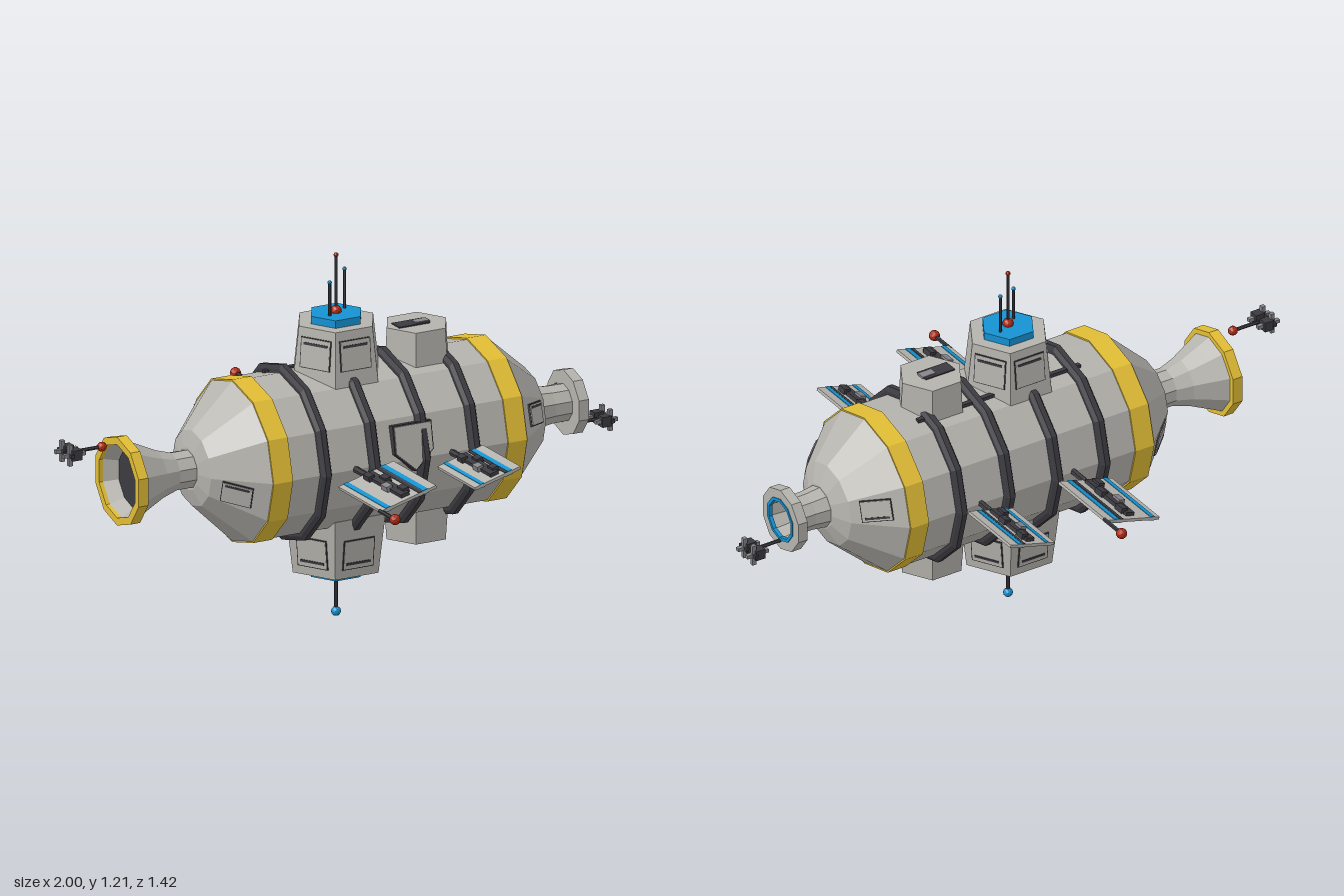
import * as THREE from 'three';

const AXIS_Y = 0.576;

function paint(name, color) {
  const m = new THREE.MeshStandardMaterial({ color, flatShading: true });
  m.name = name;
  return m;
}

export function createModel() {
  const hullGrey = paint('hull grey', 0xb5b3ad);
  const midGrey = paint('mid grey', 0x85858a);
  const dark = paint('dark grey', 0x3b3a40);
  const yellow = paint('yellow', 0xe2bd35);
  const blue = paint('blue', 0x1592d2);
  const red = paint('red', 0xb02a12);

  const root = new THREE.Group();
  root.name = 'spaceStation';

  const group = (parent, name, x = 0, y = 0, z = 0) => {
    const g = new THREE.Group();
    g.name = name;
    g.position.set(x, y, z);
    parent.add(g);
    return g;
  };
  const mesh = (parent, name, geo, mat, x = 0, y = 0, z = 0) => {
    const m = new THREE.Mesh(geo, mat);
    m.name = name;
    m.position.set(x, y, z);
    parent.add(m);
    return m;
  };
  const box = (parent, name, mat, w, h, d, x, y, z) =>
    mesh(parent, name, new THREE.BoxGeometry(w, h, d), mat, x, y, z);
  const ball = (parent, name, mat, r, x, y, z) =>
    mesh(parent, name, new THREE.IcosahedronGeometry(r, 1), mat, x, y, z);
  // Rod between two points
  const rod = (parent, name, mat, r, a, b) => {
    const p = new THREE.Vector3(...a), d = new THREE.Vector3(...b).sub(p);
    const m = mesh(parent, name, new THREE.CylinderGeometry(r, r, d.length(), 6), mat);
    m.position.copy(p).addScaledVector(d, 0.5);
    m.quaternion.setFromUnitVectors(new THREE.Vector3(0, 1, 0), d.normalize());
    return m;
  };
  // Hexagonal prism with corners on the x axis
  const hex = (parent, name, mat, rTop, rBottom, y0, y1) =>
    mesh(parent, name, new THREE.CylinderGeometry(rTop, rBottom, y1 - y0, 6).rotateY(Math.PI / 6),
      mat, 0, (y0 + y1) / 2, 0);

  // Parts turned around the long axis, from [x, radius] pairs
  const body = group(root, 'body', 0, AXIS_Y, 0);
  const turned = (name, mat, profile, sides = 12) => {
    const pts = profile.map(([x, r]) => new THREE.Vector2(r, x));
    const geo = new THREE.LatheGeometry(pts, sides, Math.PI / 2).rotateZ(-Math.PI / 2);
    return mesh(body, name, geo, mat);
  };
  const band = (name, mat, x0, x1, rIn, rOut, sides) =>
    turned(name, mat, [[x0, rIn], [x0, rOut], [x1, rOut], [x1, rIn], [x0, rIn]], sides);

  turned('hull', hullGrey, [[-0.535, 0], [-0.535, 0.07], [-0.52, 0.125], [-0.375, 0.265],
    [0.54, 0.265], [0.68, 0.14], [0.708, 0.075], [0.708, 0]]);
  band('leftYellowBand', yellow, 0.472, 0.54, 0.25, 0.27);
  band('rightYellowBand', yellow, -0.375, -0.305, 0.25, 0.27);
  for (const x of [-0.187, -0.01, 0.17, 0.35])
    turned('hullRing', dark, [[x - 0.018, 0.25], [x - 0.018, 0.277], [x - 0.009, 0.291],
      [x + 0.009, 0.291], [x + 0.018, 0.277], [x + 0.018, 0.25]]);

  // Engine bell
  turned('engineBell', hullGrey, [[-0.76, 0.132], [-0.71, 0.108], [-0.65, 0.08], [-0.595, 0.063], [-0.53, 0.063]], 10);
  turned('bellLining', hullGrey, [[-0.66, 0.07], [-0.785, 0.126]], 10);
  turned('bellThroat', dark, [[-0.73, 0], [-0.73, 0.104]], 10);
  band('bellRim', yellow, -0.79, -0.755, 0.122, 0.147, 10);

  // Docking port
  turned('portNeck', hullGrey, [[0.7, 0.07], [0.76, 0.063], [0.825, 0.062]], 10);
  turned('portFlange', hullGrey, [[0.82, 0.05], [0.82, 0.108], [0.855, 0.108], [0.855, 0.072],
    [0.78, 0.06], [0.78, 0]], 10);
  band('portBlueRing', blue, 0.845, 0.858, 0.065, 0.076, 10);

  // Hatches lying on the cone facets
  const hatch = (x, r, angle, slope) => {
    const turn = group(body, 'hatch');
    turn.rotation.x = angle;
    const g = group(turn, 'hatchPlate', x, 0, r);
    g.rotation.y = slope;
    box(g, 'hatchFrame', dark, 0.102, 0.072, 0.008, 0, 0, 0);
    box(g, 'hatchDoor', hullGrey, 0.096, 0.066, 0.009, 0, 0, 0.002);
    box(g, 'hatchSlot', dark, 0.08, 0.007, 0.008, 0, 0.024, 0.004);
  };
  hatch(0.615, 0.193, -0.262, 0.72);
  hatch(0.615, 0.193, Math.PI + 0.262, 0.72);
  hatch(-0.455, 0.182, 0.262, -0.75);
  hatch(-0.455, 0.182, Math.PI - 0.262, -0.75);

  // Shield-shaped door on the front
  const shieldGeo = (k, depth) => new THREE.ExtrudeGeometry(new THREE.Shape(
    [[-0.07, 0.07], [-0.07, -0.022], [0, -0.085], [0.07, -0.022], [0.07, 0.07]]
      .map(([x, y]) => new THREE.Vector2(x * k, y * k))), { depth, bevelEnabled: false });
  const door = group(body, 'shieldDoor', 0.13, 0.045, 0.243);
  door.rotation.x = -0.18;
  mesh(door, 'shieldFrame', shieldGeo(1, 0.028), dark);
  mesh(door, 'shieldFace', shieldGeo(0.93, 0.031), hullGrey);

  // Panel on one face of a hexagonal tower
  const towerPanel = (parent, angle, y, apothem, lean) => {
    const turn = group(parent, 'towerPanel');
    turn.rotation.y = angle;
    const g = group(turn, 'panelPlate', 0, y, apothem);
    g.rotation.x = -lean;
    box(g, 'panelFrame', dark, 0.11, 0.1, 0.006, 0, 0, 0);
    box(g, 'panelFace', hullGrey, 0.104, 0.094, 0.008, 0, 0, 0);
    box(g, 'panelSlot', dark, 0.086, 0.008, 0.008, 0, 0.03, 0.002);
  };

  // Upper tower with antennas
  const upper = group(root, 'upperTower');
  hex(upper, 'towerWalls', hullGrey, 0.134, 0.158, 0.78, 0.985);
  hex(upper, 'towerCap', blue, 0.09, 0.09, 0.98, 1.01);
  for (const a of [0, Math.PI * 2 / 3, Math.PI, -Math.PI / 3]) towerPanel(upper, a, 0.905, 0.1245, 0.1);
  ball(upper, 'antennaBase', red, 0.018, 0, 1.015, 0);
  for (const [x, z, top, mat, r] of [[0, 0, 1.2, red, 0.008], [-0.035, 0.022, 1.12, blue, 0.007],
    [0.043, -0.022, 1.14, blue, 0.007]]) {
    rod(upper, 'antenna', dark, 0.005, [x, 1, z], [x, top, z]);
    ball(upper, 'antennaTip', mat, r, x, top, z);
  }

  // Lower tower
  const lower = group(root, 'lowerTower');
  hex(lower, 'towerWalls', hullGrey, 0.182, 0.156, 0.17, 0.37);
  hex(lower, 'towerCap', blue, 0.09, 0.09, 0.144, 0.175);
  for (const a of [0, Math.PI / 3, Math.PI, -Math.PI * 2 / 3]) {
    const flip = group(lower, 'panelMount', 0, 0.25, 0);
    flip.rotation.x = Math.PI;
    towerPanel(flip, a, 0, 0.1455, 0.11);
  }
  ball(lower, 'antennaBase', red, 0.018, 0, 0.135, 0);
  rod(lower, 'antenna', dark, 0.006, [0, 0.14, 0], [0, 0.018, 0]);
  ball(lower, 'antennaTip', blue, 0.016, 0, 0.016, 0);

  // Small side modules above and below
  const pod = group(root, 'upperPod', 0.29, 0, 0);
  hex(pod, 'podWalls', hullGrey, 0.107, 0.114, 0.8, 0.927);
  box(pod, 'podVent', dark, 0.11, 0.008, 0.05, -0.02, 0.927, 0);
  box(pod, 'podVentCover', midGrey, 0.05, 0.01, 0.03, 0.015, 0.929, 0);
  const podLow = group(root, 'lowerPod', 0.29, 0, 0);
  hex(podLow, 'podWalls', hullGrey, 0.118, 0.108, 0.225, 0.36);

  // Conduit along the roof
  box(root, 'roofConduit', dark, 0.61, 0.016, 0.016, 0.085, 0.822, -0.075);

  // Solar wings, tilted alike on both sides
  const wing = (x, zIn, zOut, w, side, stripes) => {
    const len = zOut - zIn;
    const g = group(root, 'solarWing', x, AXIS_Y, 0);
    g.rotation.z = 0.265;
    const zc = side * (zIn + zOut) / 2;
    box(g, 'wingPanel', hullGrey, w, 0.01, len, 0, 0, zc);
    for (const [u, sw, mat] of stripes)
      box(g, 'wingStripe', mat, sw, 0.014, len * 0.998, u * w, 0, zc);
    rod(g, 'wingStrut', dark, 0.011, [0, 0, side * 0.24], [0, 0, side * (zIn + 0.01)]);
    box(g, 'wingSpar', dark, 0.03, 0.026, len * 0.86, 0, 0.004, zc);
    for (let i = 0; i < 4; i++) {
      const s = i % 2 ? 1 : -1;
      box(g, 'sparBlock', i === 2 ? midGrey : dark, 0.022, 0.018, len * 0.14,
        s * 0.014, 0.016, side * (zIn + len * (0.18 + i * 0.21)));
    }
    return g;
  };
  for (const side of [1, -1]) {
    const big = wing(-0.075, 0.33, 0.607, 0.205, side,
      [[-0.37, 0.016, blue], [0.22, 0.012, dark], [0.31, 0.018, blue]]);
    const ex = -side * 0.1;
    rod(big, 'wingProbe', dark, 0.007, [ex, 0, side * 0.59], [ex, 0, side * 0.69]);
    ball(big, 'wingProbeTip', red, 0.018, ex, 0, side * 0.69);
    wing(0.272, 0.318, 0.56, 0.17, side, [[-0.33, 0.013, blue], [0.2, 0.01, dark], [0.28, 0.015, blue]]);
  }

  // Small thruster drones at both ends
  const drones = (x, y, dir) => {
    const g = group(root, 'droneCluster', x, y, 0);
    g.scale.x = 1;
    for (const z of [-0.026, 0.026]) {
      box(g, 'droneCore', dark, 0.034, 0.034, 0.032, 0, 0, z);
      box(g, 'droneNose', midGrey, 0.08, 0.012, 0.014, dir * 0.004, 0, z);
      box(g, 'droneFin', midGrey, 0.014, 0.07, 0.014, dir * 0.018, 0, z);
      box(g, 'droneArm', dark, 0.012, 0.012, 0.042, dir * 0.018, 0, z);
    }
    return g;
  };
  drones(-0.956, 0.7, -1);
  rod(root, 'droneBoom', dark, 0.006, [-0.94, 0.7, 0], [-0.845, 0.7, 0]);
  ball(root, 'droneBoomTip', red, 0.016, -0.845, 0.7, 0);
  drones(0.956, 0.5, 1);
  rod(root, 'droneBoom', dark, 0.006, [0.85, 0.5, 0], [0.94, 0.5, 0]);

  return root;
}
